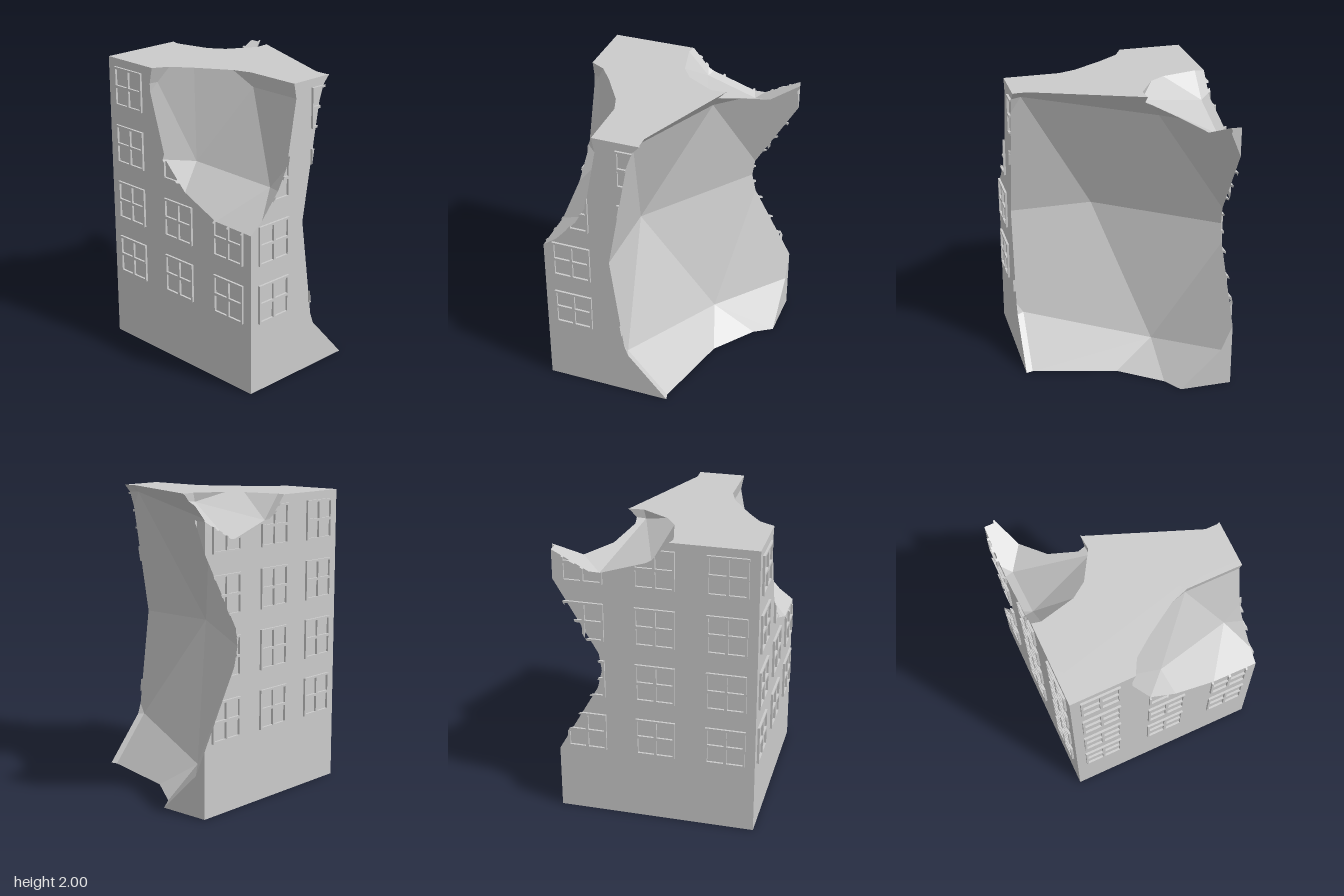
import * as THREE from 'three';
import { ConvexGeometry } from 'three/addons/geometries/ConvexGeometry.js';

const EPS = 1e-6;
const HALF = 0.665, HEIGHT = 2;

// A convex solid: its triangles and the outward planes they lie on
function solid(geometry) {
  const pos = (geometry.index ? geometry.toNonIndexed() : geometry).attributes.position;
  const polys = [], planes = [];
  for (let i = 0; i < pos.count; i += 3) {
    const tri = [0, 1, 2].map(k => new THREE.Vector3().fromBufferAttribute(pos, i + k));
    polys.push(tri);
    planes.push(new THREE.Plane().setFromCoplanarPoints(...tri));
  }
  return { polys, planes };
}

const boulder = points => solid(new ConvexGeometry(points.map(p => new THREE.Vector3(...p))));

function box(w, h, d, matrix) {
  const g = new THREE.BoxGeometry(w, h, d);
  return solid(matrix ? g.applyMatrix4(matrix) : g);
}

// Part of a polygon on one side of a plane (side 1 = outside, -1 = inside)
function clip(poly, plane, side) {
  const dist = poly.map(p => side * plane.distanceToPoint(p));
  const out = [];
  poly.forEach((p, i) => {
    const j = (i + 1) % poly.length;
    if (dist[i] >= -EPS) out.push(p);
    if ((dist[i] > EPS && dist[j] < -EPS) || (dist[i] < -EPS && dist[j] > EPS)) {
      out.push(p.clone().lerp(poly[j], dist[i] / (dist[i] - dist[j])));
    }
  });
  const keeps = side > 0 ? dist.some(d => d > EPS) : dist.some(d => d >= -EPS);
  return keeps && out.length > 2 ? out : null;
}

function inside(poly, body) {
  for (const plane of body.planes) {
    poly = clip(poly, plane, -1);
    if (!poly) return null;
  }
  return poly;
}

// Pieces of a polygon that lie outside a convex body
function outside(poly, body) {
  if (!inside(poly, body)) return [poly];
  const pieces = [];
  let rest = poly;
  for (const plane of body.planes) {
    const piece = clip(rest, plane, 1);
    if (piece) pieces.push(piece);
    rest = clip(rest, plane, -1);
    if (!rest) break;
  }
  return pieces;
}

// Convex solid with bites taken out: the remaining skin plus the bite walls
function carve(body, bites) {
  const cutBy = (polys, list) => list.reduce((ps, b) => ps.flatMap(p => outside(p, b)), polys);
  const skin = cutBy(body.polys, bites);
  const walls = bites.flatMap(bite => {
    const faces = bite.polys.map(p => inside(p, body)).filter(Boolean);
    return cutBy(faces, bites.filter(b => b !== bite)).map(p => [...p].reverse());
  });
  return { skin, walls };
}

function makeMesh(polys, name, material) {
  const points = [];
  for (const p of polys) {
    for (let i = 1; i < p.length - 1; i++) points.push(p[0], p[i], p[i + 1]);
  }
  const geometry = new THREE.BufferGeometry().setFromPoints(points);
  geometry.computeVertexNormals();
  const mesh = new THREE.Mesh(geometry, material);
  mesh.name = name;
  return mesh;
}

export function createModel() {
  const group = new THREE.Group();
  group.name = 'ruinedBuilding';
  const material = new THREE.MeshStandardMaterial({ color: 0xcccccc, flatShading: true });

  // Large bite out of the right front corner
  const sideBite = boulder([
    [-0.2, 1.07, 0.1], [-0.2, 1.07, 1.12], [-0.1, 0.32, 0.62], [0.24, 0.18, -0.22],
    [0.41, 1.07, -0.74], [0.18, 1.82, -0.27], [-0.04, 1.95, 0.6], [0.52, -0.38, 0.62],
    [1.14, -0.36, -0.25], [0.85, 0.31, -0.75], [0.86, 1.93, -0.7], [0.65, 2.52, 0.2],
    [1.1, 2.45, -0.25], [0.65, 2.52, 1.1], [0.24, 0.18, 1.45], [0.2, 1.9, 1.5],
    [1.14, -0.36, 1.45], [2, 1.07, -0.2], [2, 1.07, 1.4],
  ]);

  // Bite out of the upper left front corner
  const cornerBite = boulder([
    [-0.52, 1.4, 0.02], [-0.38, 1.32, 0.55], [-0.27, 1.9, 0.29], [-0.62, 1.9, -0.23],
    [-0.95, 1.85, -0.42], [-0.95, 1.43, -0.4], [-0.95, 0.9, 0.15], [-0.95, 0.88, 0.9],
    [-0.6, 1.4, 1.1], [-0.27, 1.9, 1.0], [-0.45, 2.2, -0.07], [-0.37, 2.4, 0.29],
    [-0.4, 2.4, 0.8], [-0.85, 2.5, 0.1], [-1.4, 1.5, 0.4], [-1.1, 1.9, 1.1],
  ]);

  // Shallow bowl at the back of the roof
  const roofBite = boulder([
    [0.03, 1.84, -0.61], [0.37, 1.73, -0.61], [-0.25, 2.16, -0.6], [-0.07, 2.03, -0.32],
    [0.19, 1.94, -0.15], [0.3, 2.4, -0.15], [0.89, 2.0, -0.2], [0.8, 1.95, -1.05],
    [-0.07, 2.03, -0.9], [0.19, 1.94, -1.07], [0.3, 2.4, -1.07],
    [0.9, 2.6, -0.2], [0.9, 2.6, -1.0], [-0.2, 2.6, -0.6],
  ]);
  const bites = [sideBite, cornerBite, roofBite];

  // Main block and its broken surfaces
  const block = box(HALF * 2, HEIGHT, HALF * 2, new THREE.Matrix4().makeTranslation(0, HEIGHT / 2, 0));
  const { skin, walls } = carve(block, bites);
  group.add(makeMesh(skin, 'outerWalls', material), makeMesh(walls, 'brokenSurfaces', material));

  // Window bars: [x, y, width, height] around the window centre
  const size = 0.265, rim = 0.014, cross = 0.018, depth = 0.03;
  const edge = (size - rim) / 2, span = size - rim * 2, arm = (span - cross) / 2;
  const bars = [
    [-edge, 0, rim, size], [edge, 0, rim, size],
    [0, -edge, span, rim], [0, edge, span, rim],
    [0, 0, cross, span],
    [-(arm + cross) / 2, 0, arm, cross], [(arm + cross) / 2, 0, arm, cross],
  ];

  // Three columns and four rows on every wall, broken where the bites reach them
  ['front', 'left', 'back', 'right'].forEach((side, wall) => {
    const wallGroup = new THREE.Group();
    wallGroup.name = side + 'Windows';
    const turn = new THREE.Matrix4().makeRotationY(wall * Math.PI / 2);
    for (const cx of [-0.467, 0, 0.467]) {
      for (const cy of [0.612, 1.012, 1.412, 1.812]) {
        const polys = bars.flatMap(([x, y, w, h]) => {
          const place = new THREE.Matrix4().makeTranslation(cx + x, cy + y, HALF).premultiply(turn);
          const part = carve(box(w, h, depth, place), bites);
          return [...part.skin, ...part.walls];
        });
        if (polys.length) wallGroup.add(makeMesh(polys, 'windowFrame', material));
      }
    }
    group.add(wallGroup);
  });

  return group;
}
